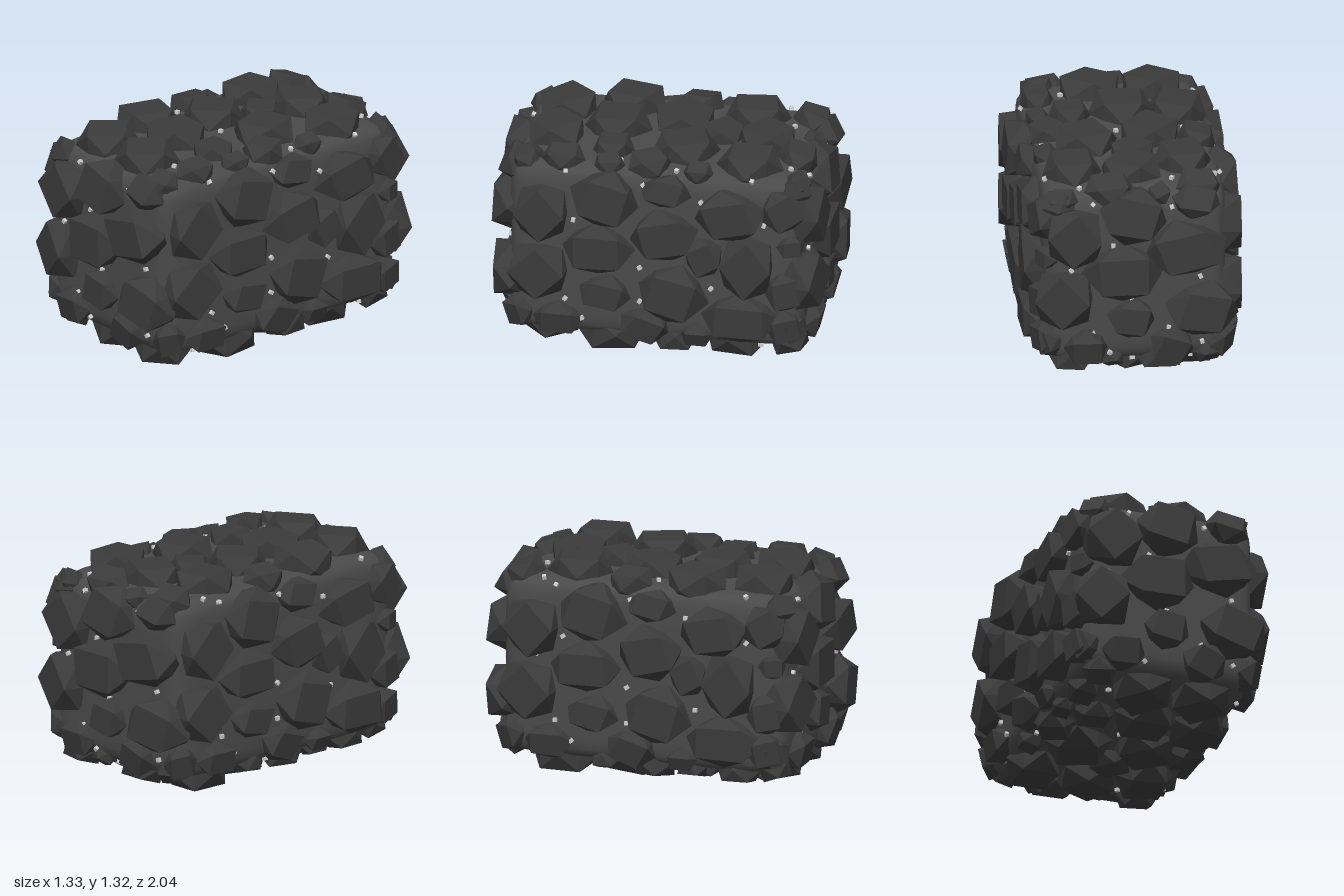
import * as THREE from 'three';
import { ConvexGeometry } from 'three/addons/geometries/ConvexGeometry.js';

const stoneMat = new THREE.MeshStandardMaterial({ color: 0x3b3b3b, flatShading: true });
const coreMat = new THREE.MeshStandardMaterial({ color: 0x4a4a4a });
const speckMat = new THREE.MeshStandardMaterial({ color: 0xd8d8d8 });

// Core half sizes and mid height; squareness of the core and of the stones' seat
const HX = 0.55, HY = 0.55, HZ = 0.89, MID = 0.66;
const CORE_POWER = 12, SEAT_POWER = 9;

// Stones per face: [u, v, radius, turn in degrees, width to height], from the face centre
const END = [
  [-0.46, 0.47, 0.09, -15, 1.1], [-0.37, 0.29, 0.185, 40, 0.95], [-0.02, 0.4, 0.185, -15, 1.1],
  [0.36, 0.47, 0.12, -15, 1.3], [0.29, 0.19, 0.2, 15, 1.4], [-0.085, 0.05, 0.2, 0, 1.25],
  [-0.43, -0.11, 0.185, 45, 0.95], [-0.03, -0.25, 0.13, -10, 1.1], [0.39, -0.21, 0.19, -15, 1.25],
  [-0.3, -0.43, 0.12, 0, 1.1], [0.21, -0.43, 0.125, -25, 1.1], [-0.525, -0.39, 0.11, 15, 1],
];
const SIDE = [
  [-0.68, 0.25, 0.18, 45, 0.95], [-0.3, 0.37, 0.19, -15, 1.13], [0.07, 0.44, 0.12, -15, 1.5],
  [0.46, 0.32, 0.18, 15, 1.35], [0.77, 0.37, 0.13, 30, 1], [-0.34, 0.04, 0.18, 0, 1.35],
  [0.06, 0.16, 0.18, 15, 1.2], [0.3, 0.04, 0.12, 30, 0.9], [0.56, 0, 0.185, 40, 0.82],
  [-0.7, -0.13, 0.185, 45, 1], [-0.3, -0.25, 0.13, -15, 1.35], [0.11, -0.22, 0.19, -15, 1.13],
  [0.52, -0.34, 0.185, 0, 1.5], [0.78, -0.16, 0.12, 10, 0.9], [-0.82, -0.43, 0.1, 15, 0.85],
  [-0.58, -0.44, 0.12, 0, 1.4], [-0.06, -0.44, 0.13, -25, 1.3], [0.25, -0.48, 0.08, 0, 1.3],
  [0.81, 0.13, 0.075, 0, 1.1], [0.82, -0.4, 0.09, 20, 0.9],
];
const TOP = [
  [-0.38, 0.78, 0.12, 10, 1.1], [-0.14, 0.83, 0.07, 30, 1], [0.15, 0.79, 0.13, 5, 1.2],
  [0.43, 0.83, 0.08, -20, 1.2], [-0.32, 0.46, 0.18, 10, 0.86], [0, 0.58, 0.175, -30, 1.1],
  [0.35, 0.54, 0.18, 0, 0.85], [-0.04, 0.31, 0.125, 45, 1.1], [-0.44, 0.1, 0.12, -10, 0.85],
  [-0.17, 0.05, 0.185, 45, 1], [0.22, 0.13, 0.19, 20, 0.97], [0.47, 0.25, 0.08, 0, 0.85],
  [0.43, -0.05, 0.12, 30, 0.9], [-0.37, -0.29, 0.185, -15, 0.87], [-0.04, -0.33, 0.19, 0, 0.95],
  [0.27, -0.3, 0.12, 5, 1], [0.46, -0.29, 0.08, 10, 0.75], [-0.26, -0.67, 0.185, 45, 1.05],
  [0.11, -0.67, 0.185, 45, 1.05], [0.43, -0.57, 0.11, 0, 0.75], [0.41, -0.79, 0.095, 20, 1.1],
];

// Light specks per face: [u, v]
const END_SPECKS = [[-0.26, 0.48], [0.21, 0.45], [-0.14, 0.22], [-0.39, 0.07], [0.38, 0],
  [-0.03, -0.13], [-0.26, -0.34], [0.19, -0.32], [0.39, -0.42], [-0.16, -0.47]];
const SIDE_SPECKS = [[-0.54, 0.51], [-0.07, 0.47], [0.28, 0.39], [-0.49, 0.21], [0.66, 0.27], [-0.65, 0.09],
  [-0.09, -0.07], [0.34, -0.17], [-0.09, -0.29], [-0.54, -0.31], [0.78, -0.35], [-0.44, -0.43]];
const TOP_SPECKS = [[-0.23, 0.7], [-0.02, 0.83], [0.33, 0.78], [0.51, 0.58], [-0.49, 0.63], [0.48, 0.12],
  [0.02, -0.04], [-0.38, -0.05], [0.41, -0.23], [0.29, -0.61], [-0.5, -0.64]];

// Small seeded generator giving -1..1
let seed = 7;
function jitter() {
  seed = (seed * 16807) % 2147483647;
  return (seed / 2147483647) * 2 - 1;
}

// Outward normal of the bulged block with half sizes h at point p
function bulgeNormal(p, h, power) {
  const slope = (c, half) => (Math.sign(c) * Math.abs(c / half) ** (power - 1)) / half;
  return new THREE.Vector3(slope(p.x, h.x), slope(p.y, h.y), slope(p.z, h.z)).normalize();
}

// Block with gently bulged faces and rounded edges
function coreGeometry() {
  const half = new THREE.Vector3(HX, HY, HZ);
  const geometry = new THREE.BoxGeometry(2, 2, 2, 20, 20, 20);
  const pos = geometry.attributes.position, normal = geometry.attributes.normal;
  const p = new THREE.Vector3();
  for (let i = 0; i < pos.count; i++) {
    p.fromBufferAttribute(pos, i);
    const size = (p.x ** CORE_POWER + p.y ** CORE_POWER + p.z ** CORE_POWER) ** (1 / CORE_POWER);
    p.divideScalar(size).multiply(half);
    const n = bulgeNormal(p, half, CORE_POWER);
    pos.setXYZ(i, p.x, p.y, p.z);
    normal.setXYZ(i, n.x, n.y, n.z);
  }
  return geometry;
}

// Faceted stone: square front and back, with a turned square round the waist
function stoneGeometry(r, turn, stretch) {
  const points = [], depth = 0.03 + 0.4 * r, wide = Math.sqrt(stretch);
  const add = (angle, radius, z) =>
    points.push(new THREE.Vector3(Math.cos(angle) * radius * wide, (Math.sin(angle) * radius) / wide, z));
  for (let i = 0; i < 4; i++) {
    const a = (i * Math.PI) / 2 + THREE.MathUtils.degToRad(turn);
    const b = a + Math.PI / 4 + 0.06 * jitter(), inner = r * (0.98 - 0.45 * r + 0.04 * jitter());
    add(b, inner, depth);
    add(b, inner, -depth);
    add(a, r * (1.07 + 0.05 * jitter()), 0.1 * depth * jitter());
  }
  return new ConvexGeometry(points);
}

// One face of stones and specks, built facing +z; stones near the edges sink and tilt
function studdedFace(name, stones, specks, half) {
  const face = new THREE.Group();
  face.name = name;
  const seat = (mesh, part, u, v, lift, power) => {
    const rest = 1 - Math.abs(u / half.x) ** power - Math.abs(v / half.y) ** power;
    mesh.position.set(u, v, half.z * Math.max(rest, 0.2) ** (1 / power));
    const n = bulgeNormal(mesh.position, half, power);
    mesh.quaternion.setFromUnitVectors(new THREE.Vector3(0, 0, 1), n);
    mesh.position.addScaledVector(n, lift);
    mesh.name = part;
    face.add(mesh);
  };
  for (const [u, v, r, turn, stretch] of stones) {
    seat(new THREE.Mesh(stoneGeometry(r, turn, stretch), stoneMat), 'stone', u, v, 0, SEAT_POWER);
  }
  for (const [u, v] of specks) {
    const cube = new THREE.BoxGeometry(0.024, 0.024, 0.024).rotateZ(jitter());
    seat(new THREE.Mesh(cube, speckMat), 'speck', u, v, 0.008, CORE_POWER);
  }
  return face;
}

export function createModel() {
  const model = new THREE.Group();
  model.name = 'rockBlock';
  seed = 7;

  // Bulged core
  const core = new THREE.Mesh(coreGeometry(), coreMat);
  core.name = 'core';
  core.position.y = MID;
  model.add(core);

  // Six studded faces, opposite ones sharing a layout turned half round
  const Q = Math.PI / 2;
  const endHalf = new THREE.Vector3(HX, HY, HZ);
  const sideHalf = new THREE.Vector3(HZ, HY, HX);
  const topHalf = new THREE.Vector3(HX, HZ, HY);
  const faces = [
    ['front', END, END_SPECKS, endHalf, [0, 0, 0]],
    ['back', END, END_SPECKS, endHalf, [0, 2 * Q, 0]],
    ['left', SIDE, SIDE_SPECKS, sideHalf, [0, Q, 0]],
    ['right', SIDE, SIDE_SPECKS, sideHalf, [0, -Q, 0]],
    ['top', TOP, TOP_SPECKS, topHalf, [-Q, 0, 0]],
    ['bottom', TOP, TOP_SPECKS, topHalf, [Q, 0, 2 * Q]],
  ];
  for (const [name, stones, specks, half, turn] of faces) {
    const face = studdedFace(name + 'Stones', stones, specks, half);
    face.position.y = MID;
    face.rotation.set(...turn);
    model.add(face);
  }
  return model;
}
